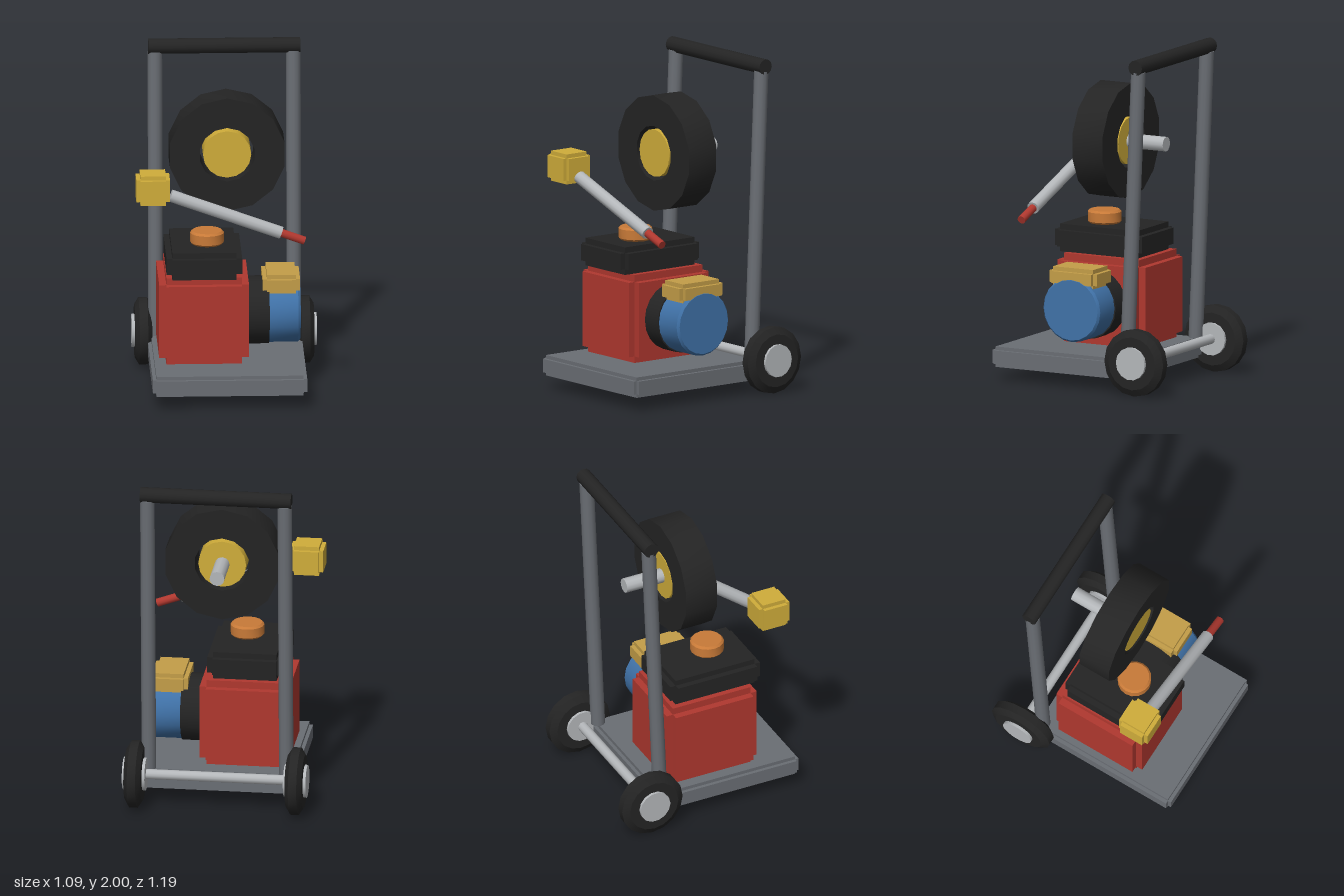
import * as THREE from 'three';
import { toCreasedNormals } from 'three/addons/utils/BufferGeometryUtils.js';

const paint = (name, color) => {
  const m = new THREE.MeshStandardMaterial({ color });
  m.name = name;
  return m;
};

export function createModel() {
  const model = new THREE.Group();
  model.name = 'pressureWasher';

  const steel = paint('darkSteel', 0x6a6e74);
  const rubber = paint('blackRubber', 0x242424);
  const metal = paint('lightMetal', 0xb4b7ba);
  const red = paint('engineRed', 0xb0382f);
  const yellow = paint('yellow', 0xd0ad3a);
  const brass = paint('brass', 0xc49e48);
  const orange = paint('orange', 0xc87a38);
  const blue = paint('pumpBlue', 0x4072a8);

  const add = (name, geometry, material, parent = model) => {
    const mesh = new THREE.Mesh(geometry, material);
    mesh.name = name;
    parent.add(mesh);
    return mesh;
  };

  // Box with stepped edges: three boxes, each full length along one axis only
  const steppedBox = (name, material, centre, size, step) => {
    const group = new THREE.Group();
    group.name = name;
    group.position.set(...centre);
    for (let axis = 0; axis < 3; axis++) {
      const s = size.map((v, i) => (i === axis ? v : v - 2 * step));
      add(name + 'Block', new THREE.BoxGeometry(...s), material, group);
    }
    model.add(group);
  };

  // Solid of revolution from [radius, height] points, lying along y
  const turned = (points, sides) =>
    toCreasedNormals(new THREE.LatheGeometry(points.map(p => new THREE.Vector2(...p)), sides), 0.55);

  // Round bar between two points
  const bar = (name, material, from, to, radius, sides = 12) => {
    const a = new THREE.Vector3(...from), b = new THREE.Vector3(...to);
    const mesh = add(name, new THREE.CylinderGeometry(radius, radius, a.distanceTo(b), sides), material);
    mesh.position.copy(a).add(b).multiplyScalar(0.5);
    mesh.quaternion.setFromUnitVectors(new THREE.Vector3(0, 1, 0), b.sub(a).normalize());
    return mesh;
  };

  // Base and engine
  steppedBox('basePlate', steel, [0, 0.147, 0.132], [0.908, 0.122, 0.925], 0.021);
  steppedBox('engineBlock', red, [-0.143, 0.47, 0.058], [0.528, 0.53, 0.593], 0.042);
  steppedBox('fuelTank', rubber, [-0.143, 0.818, 0.098], [0.445, 0.165, 0.588], 0.034);
  const cap = add('fuelCap', turned(
    [[0, -0.04], [0.088, -0.04], [0.1, -0.028], [0.1, 0.028], [0.088, 0.04], [0, 0.04]], 16), orange);
  cap.position.set(-0.12, 0.94, 0.15);

  // Pump on the left of the engine
  bar('pumpCollar', rubber, [0.1, 0.467, 0.068], [0.245, 0.467, 0.068], 0.2, 20);
  const pump = add('pumpHousing', turned(
    [[0, 0], [0.192, 0], [0.192, 0.17], [0.18, 0.184], [0, 0.184]], 20), blue);
  pump.position.set(0.244, 0.467, 0.068);
  pump.rotation.z = -Math.PI / 2;
  steppedBox('pumpManifold', brass, [0.316, 0.655, 0.067], [0.22, 0.12, 0.32], 0.025);

  // Upright frame and handle
  for (const side of [-1, 1]) {
    bar('upright', steel, [side * 0.407, 0.21, -0.303], [side * 0.407, 1.925, -0.377], 0.043);
  }
  bar('handle', rubber, [-0.447, 1.954, -0.378], [0.447, 1.954, -0.378], 0.046);

  // Axle and road wheels
  bar('axle', metal, [-0.42, 0.207, -0.4], [0.42, 0.207, -0.4], 0.03);
  for (const side of [-1, 1]) {
    const tyre = add('wheelTyre', turned([[0.08, -0.05], [0.158, -0.05], [0.199, -0.025],
      [0.199, 0.025], [0.158, 0.05], [0.08, 0.05]], 16), rubber);
    tyre.position.set(side * 0.477, 0.204, -0.4);
    tyre.rotation.z = Math.PI / 2;
    bar('wheelHub', metal, [side * 0.41, 0.206, -0.4], [side * 0.544, 0.206, -0.4], 0.098, 14);
  }

  // Hose reel on its arm, with a gap around the hub
  const reel = add('hoseReel', turned(
    [[0.164, -0.102], [0.345, -0.102], [0.345, 0.102], [0.164, 0.102], [0.164, -0.102]], 14), rubber);
  reel.position.set(0, 1.428, 0.006);
  reel.rotation.x = Math.PI / 2;
  bar('reelHub', yellow, [0, 1.428, -0.09], [0, 1.428, 0.102], 0.142, 16);
  bar('reelArm', metal, [0, 1.428, -0.335], [0, 1.428, -0.08], 0.044);

  // Spray lance
  steppedBox('lanceGrip', yellow, [-0.448, 1.315, 0.39], [0.198, 0.18, 0.198], 0.024);
  bar('lanceTube', metal, [-0.343, 1.266, 0.392], [0.307, 1.031, 0.392], 0.038);
  bar('lanceNozzle', red, [0.29, 1.037, 0.392], [0.445, 0.981, 0.392], 0.025);

  return model;
}
